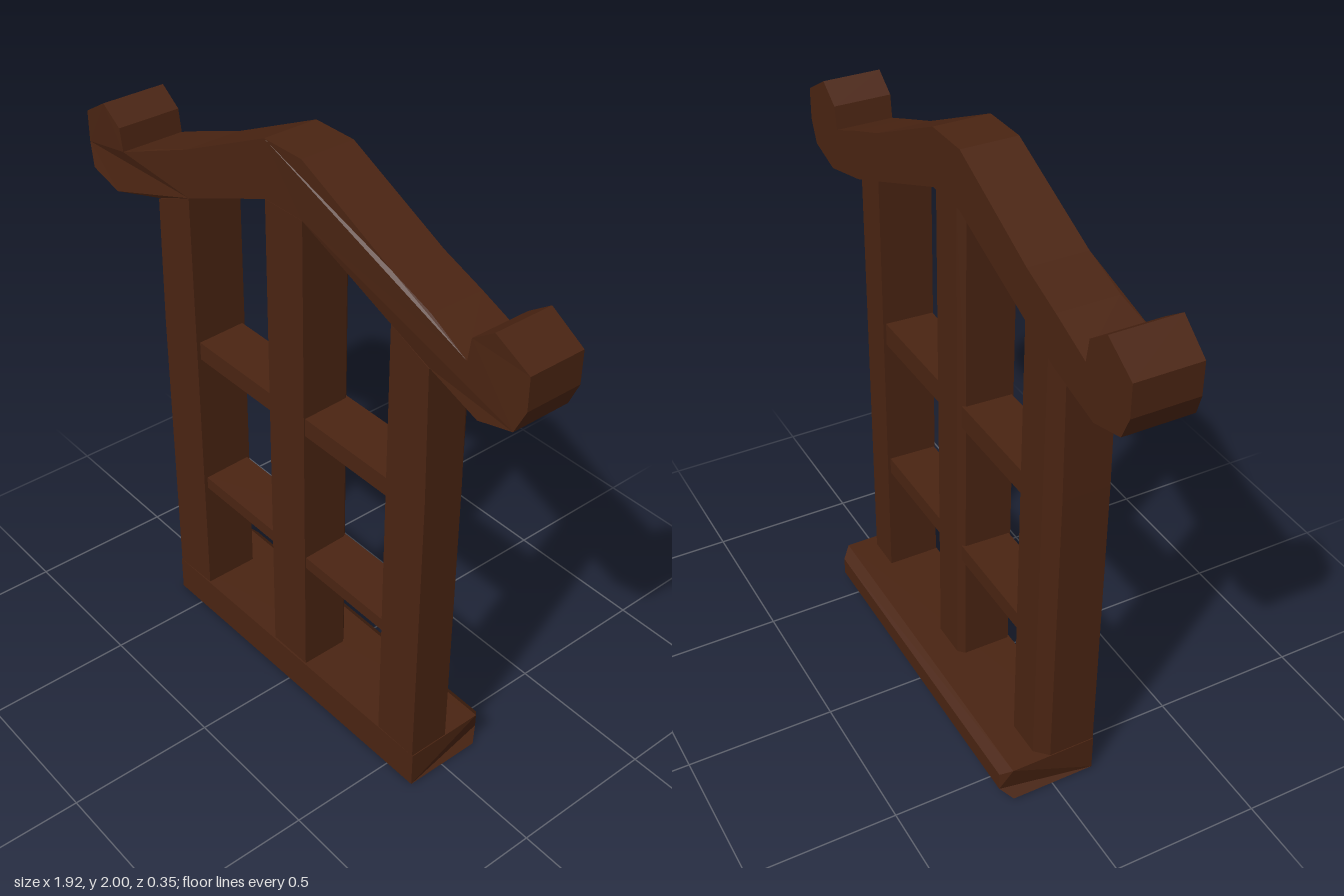
import * as THREE from 'three';

const BACK = -0.05;
const wood = new THREE.MeshStandardMaterial({ color: 0x4a2412 });

// Piecewise-linear lookup through [x, value] pairs
function lerpTable(table, x) {
  if (x <= table[0][0]) return table[0][1];
  for (let i = 1; i < table.length; i++) {
    const [x0, v0] = table[i - 1], [x1, v1] = table[i];
    if (x <= x1) return v0 + (v1 - v0) * (x - x0) / (x1 - x0);
  }
  return table[table.length - 1][1];
}

// The slightly uneven front plane, and the underside of the roof beam
const frontZ = x => lerpTable([[-0.96, 0.16], [-0.93, 0.173], [-0.75, 0.17], [-0.6, 0.145],
  [-0.25, 0.135], [0.6, 0.13], [0.76, 0.145], [0.92, 0.147], [0.96, 0.137]], x);
const underside = x => lerpTable([[0.08, 1.815], [0.45, 1.665], [0.6, 1.605], [0.8, 1.555]], Math.abs(x));

// Extrude an outline, then move each vertex by a rule
function carve(points, depth, steps, rule) {
  const shape = new THREE.Shape(points.map(p => new THREE.Vector2(...p)));
  const geometry = new THREE.ExtrudeGeometry(shape, { depth, steps, bevelEnabled: false });
  const pos = geometry.attributes.position;
  for (let i = 0; i < pos.count; i++) {
    pos.setXYZ(i, ...rule(pos.getX(i), pos.getY(i), pos.getZ(i)));
  }
  geometry.computeVertexNormals();
  return geometry;
}

function add(group, name, geometry) {
  const mesh = new THREE.Mesh(geometry, wood);
  mesh.name = name;
  group.add(mesh);
}

// Upright with a plan outline in (x, -z), its top cut to the roof slope
function upright(plan) {
  return carve(plan, 2, 2, (x, y, t) => {
    const z = -y > 0.1 ? frontZ(x) : -y;
    const top = underside(x);
    const height = [0.12, 1.15, top][Math.round(t)];
    const taper = t > 1.5 && Math.abs(x) > 0.6 ? Math.sign(x) * 0.602 : x;
    return [taper, height, z];
  });
}

export function createModel() {
  const group = new THREE.Group();
  group.name = 'windowFrame';

  // Bent roof beam ending in faceted curls
  const half = [[0.08, 1.815], [0.45, 1.665], [0.6, 1.605], [0.8, 1.555], [0.925, 1.59], [0.958, 1.665],
    [0.958, 1.77], [0.84, 1.84], [0.762, 1.785], [0.75, 1.71], [0.6, 1.77], [0.45, 1.825], [0.08, 2]];
  const outline = [...half, ...half.map(([x, y]) => [-x, y]).reverse()];
  add(group, 'roofBeam', carve(outline, 1, 1, (x, y, t) => [x, y, t > 0.5 ? frontZ(x) : BACK]));

  // Side posts with the outer back corner cut off
  const right = [[0.45, 0.05], [0.45, -0.15], [0.612, -0.15], [0.612, 0.01], [0.572, 0.05]];
  add(group, 'leftPost', upright(right));
  add(group, 'rightPost', upright(right.map(([x, y]) => [-x, y]).reverse()));

  // Centre mullion with eased back corners
  add(group, 'mullion', upright([[-0.082, -0.15], [0.082, -0.15], [0.082, 0.03],
    [0.062, 0.05], [-0.062, 0.05], [-0.082, 0.03]]));

  // Bottom rail and projecting sill, profile in (-z, y)
  const sill = [[-0.15, 0], [0.14, 0], [0.177, 0.035], [0.177, 0.1], [0.145, 0.13], [-0.15, 0.13]];
  add(group, 'sill', carve(sill, 1, 1, (p, y, t) => {
    const x = (t > 0.5 ? 1 : -1) * (p > 0.16 ? 0.585 : 0.615);
    return [x, y, -p > 0.1 ? frontZ(x) : -p];
  }));

  // Glazing bars, a little taller at the back, profile in (-z, y)
  for (const side of [-1, 1]) {
    for (const [name, low, high] of [['upperBar', 1.07, 1.15], ['lowerBar', 0.542, 0.602]]) {
      const bar = [[-0.128, low + 0.01], [0.04, low], [0.04, high], [-0.128, high - 0.006]];
      add(group, name, carve(bar, 1, 1, (p, y, t) => [side * 0.265 + (t - 0.5) * 0.39, y, -p]));
    }
  }
  return group;
}

// Note on orientation: outlines using (-z, y) sweep along +x, those using (x, -z) sweep along +y.
